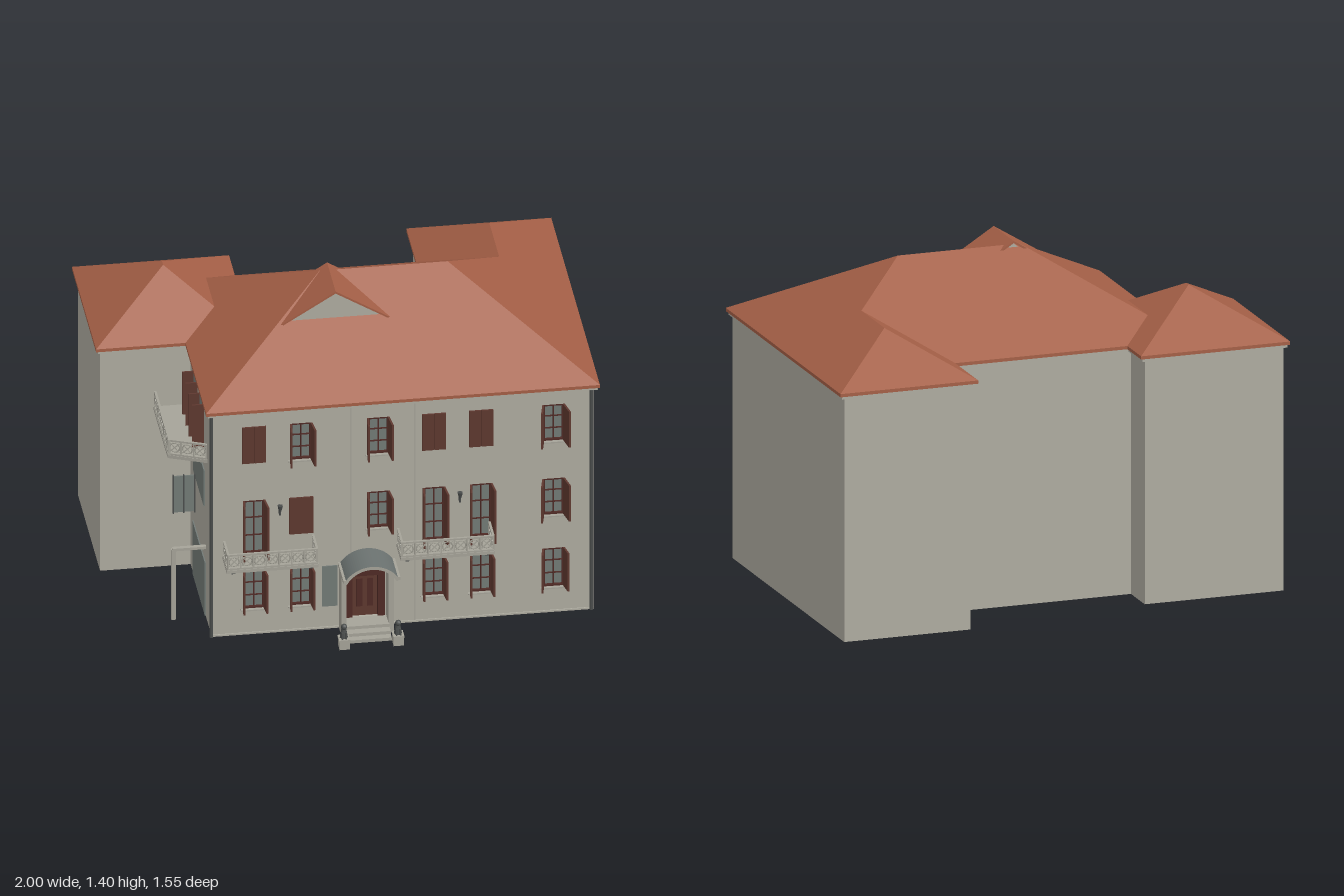
import * as THREE from 'three';

const mat = (name, color, side = THREE.FrontSide) => {
  const m = new THREE.MeshStandardMaterial({ color, side });
  m.name = name;
  return m;
};

export function createModel() {
  const model = new THREE.Group();
  model.name = 'house';
  const M = {
    wall: mat('plaster', 0xaeaba0, THREE.DoubleSide),
    roof: mat('roofTile', 0xa45f46, THREE.DoubleSide),
    shutter: mat('shutterRed', 0x5e382f),
    frame: mat('frameRed', 0x4f2a25),
    glass: mat('glass', 0x727a76, THREE.DoubleSide),
    metal: mat('darkMetal', 0x4a4d4c),
    canopy: mat('canopyGrey', 0x6b7270),
    stone: mat('stone', 0xa5a398),
  };
  const FRONT = 0.585;
  const add = (name, geo, m, x = 0, y = 0, z = 0, parent = model) => {
    const mesh = new THREE.Mesh(geo, m);
    mesh.name = name;
    mesh.position.set(x, y, z);
    parent.add(mesh);
    return mesh;
  };
  const box = (name, m, w, h, d, x, y, z, parent) =>
    add(name, new THREE.BoxGeometry(w, h, d), m, x, y, z, parent);
  const group = (name, parent = model) => {
    const g = new THREE.Group();
    g.name = name;
    parent.add(g);
    return g;
  };

  // Facade windows: x, bottom, top, closed shutters?, shutter swing
  const low = [-0.43, -0.235, 0.315, 0.51, 0.81].map(x => ({ x, y0: 0.12, y1: 0.3 }));
  const mid = [-0.43, -0.235, 0.085, 0.315, 0.51, 0.81].map(x => ({
    x, y0: [-0.43, 0.315, 0.51].includes(x) ? 0.38 : 0.46, y1: 0.63, closed: x === -0.235 }));
  const high = [-0.43, -0.235, 0.085, 0.315, 0.51, 0.81].map(x => ({
    x, y0: 0.81, y1: 0.98, closed: [-0.43, 0.315, 0.51].includes(x) }));
  const windows = [...low, ...mid, ...high];
  const W = 0.085;

  // Front wall with window and door openings
  const rect = (x0, y0, x1, y1, S = THREE.Path) => {
    const s = new S();
    s.moveTo(x0, y0); s.lineTo(x1, y0); s.lineTo(x1, y1); s.lineTo(x0, y1); s.closePath();
    return s;
  };
  const facade = rect(-0.605, 0, 0.975, 1.045, THREE.Shape);
  windows.forEach(w => facade.holes.push(rect(w.x - W / 2, w.y0, w.x + W / 2, w.y1)));
  facade.holes.push(rect(-0.055, 0.04, 0.11, 0.275));
  add('frontWall', new THREE.ExtrudeGeometry(facade, { depth: 0.02, bevelEnabled: false }),
    M.wall, 0, 0, FRONT - 0.02);

  // Remaining walls follow the footprint
  const plan = [[0.975, 0.585], [0.975, -0.75], [0.425, -0.75], [0.425, -0.475], [-0.375, -0.475],
    [-0.375, -0.64], [-0.98, -0.64], [-0.98, -0.01], [-0.605, -0.01], [-0.605, 0.585]];
  for (let i = 0; i < plan.length - 1; i++) {
    const [ax, az] = plan[i], [bx, bz] = plan[i + 1];
    const wall = add('wall', new THREE.PlaneGeometry(Math.hypot(bx - ax, bz - az), 1.045), M.wall,
      (ax + bx) / 2, 0.5225, (az + bz) / 2);
    wall.rotation.y = Math.atan2(-(ax - bx), -(az - bz)) + Math.PI / 2;
  }

  // Hip roofs; all slopes are equal, so overlapping roofs meet in valleys
  const EAVE = 1.065, SLOPE = 0.575;
  const hipRoof = (name, x0, x1, z0, z1) => {
    const r = Math.min(x1 - x0, z1 - z0) / 2, top = EAVE + r * SLOPE;
    const a = [x0, EAVE, z1], b = [x1, EAVE, z1], c = [x1, EAVE, z0], d = [x0, EAVE, z0];
    const wide = x1 - x0 > z1 - z0;
    const p = wide ? [x0 + r, top, z0 + r] : [x0 + r, top, z1 - r];
    const q = wide ? [x1 - r, top, z0 + r] : [x0 + r, top, z0 + r];
    const tris = wide
      ? [a, b, q, a, q, p, b, c, q, c, d, p, c, p, q, d, a, p]
      : [a, b, p, b, c, q, b, q, p, c, d, q, d, a, p, d, p, q];
    const g = new THREE.BufferGeometry();
    g.setAttribute('position', new THREE.Float32BufferAttribute(tris.flat(), 3));
    g.computeVertexNormals();
    add(name, g, M.roof);
    const cx = (x0 + x1) / 2, cz = (z0 + z1) / 2;
    box('eaveEdge', M.roof, x1 - x0, 0.014, z1 - z0, cx, EAVE - 0.007, cz);
    box('soffit', M.wall, x1 - x0 - 0.016, 0.014, z1 - z0 - 0.016, cx, EAVE - 0.02, cz);
  };
  hipRoof('mainRoof', -0.63, 1, -0.5, 0.6);
  hipRoof('leftRearRoof', 0.4, 1, -0.775, 0.1);
  hipRoof('rightWingRoof', -1, -0.35, -0.665, 0.015);

  // Roof gable
  const tri = (hw, h) => {
    const s = new THREE.Shape();
    s.moveTo(-hw, 0); s.lineTo(hw, 0); s.lineTo(0, h); s.closePath();
    return s;
  };
  add('gableWall', new THREE.ExtrudeGeometry(tri(0.21, 0.13), { depth: 0.21, bevelEnabled: false }),
    M.wall, -0.045, 1.258, 0.035);
  for (const s of [-1, 1]) {
    const slab = new THREE.Shape();
    slab.moveTo(0, 0.142); slab.lineTo(s * 0.225, 0.002); slab.lineTo(s * 0.215, 0); slab.lineTo(0, 0.132);
    add('gableRoof', new THREE.ExtrudeGeometry(slab, { depth: 0.24, bevelEnabled: false }),
      M.roof, -0.045, 1.26, 0.023);
  }

  // Windows with glazing bars and shutters
  for (const w of windows) {
    const g = group('window'), h = w.y1 - w.y0, cy = (w.y0 + w.y1) / 2;
    g.position.set(w.x, cy, FRONT);
    add('glass', new THREE.PlaneGeometry(W, h), M.glass, 0, 0, -0.014, g);
    if (w.closed) {
      for (const s of [-1, 1]) box('closedShutter', M.shutter, 0.049, h, 0.008, s * 0.025, 0, 0.004, g);
      continue;
    }
    for (const s of [-1, 1]) {
      box('jamb', M.frame, 0.007, h, 0.012, s * (W / 2 - 0.0035), 0, -0.007, g);
      box('rail', M.frame, W, 0.007, 0.012, 0, s * (h / 2 - 0.0035), -0.007, g);
      const leaf = group('openShutter', g), len = w.y1 < 0.4 ? 0.055 : 0.07;
      leaf.position.set(s * W / 2, 0, 0);
      leaf.rotation.y = s * (w.x > 0.7 ? 0.22 : 0.1);
      box('shutterLeaf', M.shutter, 0.008, h, len, 0, 0, len / 2, leaf);
    }
    box('mullion', M.frame, 0.005, h, 0.008, 0, 0, -0.009, g);
    for (const f of [-1, 1]) box('glazingBar', M.frame, W, 0.004, 0.006, 0, f * h / 6, -0.009, g);
    box('sill', M.stone, 0.11, 0.006, 0.016, 0, -h / 2 - 0.003, 0.006, g);
  }
  add('sideLight', new THREE.BoxGeometry(0.065, 0.19, 0.006), M.glass, -0.117, 0.2, FRONT + 0.002);

  // Drainpipes and facade joints
  for (const x of [-0.608, 0.965])
    add('drainpipe', new THREE.CylinderGeometry(0.008, 0.008, 1.04, 8), M.metal, x, 0.52, FRONT + 0.006);
  for (const x of [-0.03, 0.235]) box('facadeJoint', M.stone, 0.005, 1.04, 0.005, x, 0.52, FRONT);
  box('plinth', M.wall, 1.58, 0.008, 0.01, 0.185, 0.004, FRONT);

  // Ornamental railing along local x, base at y = 0
  const railing = (parent, len, n, x, y, z, ry = 0) => {
    const g = group('railing', parent), step = len / n;
    g.position.set(x, y, z);
    g.rotation.y = ry;
    for (const h of [0.004, 0.068]) box('railBar', M.stone, len, 0.008, 0.01, 0, h, 0, g);
    for (let i = 0; i <= n; i++) {
      const px = -len / 2 + i * step;
      box('railPost', M.stone, 0.006, 0.07, 0.008, px, 0.035, 0, g);
      if (i === n) break;
      add('railRing', new THREE.TorusGeometry(0.021, 0.003, 4, 12), M.stone, px + step / 2, 0.036, 0, g);
      for (const s of [-1, 1])
        box('railCross', M.stone, step * 1.1, 0.004, 0.004, px + step / 2, 0.036, 0, g).rotation.z = s * 0.8;
    }
  };

  // Two front balconies
  for (const [x0, x1] of [[-0.56, -0.18], [0.16, 0.55]]) {
    const g = group('balcony'), cx = (x0 + x1) / 2, len = x1 - x0;
    box('balconySlab', M.stone, len, 0.014, 0.125, cx, 0.37, 0.645, g);
    railing(g, len - 0.01, 7, cx, 0.377, 0.7);
    for (const x of [x0 + 0.006, x1 - 0.006]) railing(g, 0.115, 2, x, 0.377, 0.643, Math.PI / 2);
    for (const x of [x0 + 0.035, x1 - 0.025]) box('bracket', M.metal, 0.016, 0.035, 0.07, x, 0.346, 0.62, g);
  }

  // Entrance: recess, door, surround, canopy, steps, guardian figures
  const entrance = group('entrance'), EX = 0.03;
  box('doorRecess', M.shutter, 0.17, 0.24, 0.13, EX, 0.155, 0.505, entrance);
  box('doorHead', M.frame, 0.165, 0.04, 0.02, EX, 0.255, 0.578, entrance);
  for (const s of [-1, 1]) {
    box('doorJamb', M.frame, 0.03, 0.22, 0.02, EX + s * 0.067, 0.15, 0.578, entrance);
    box('doorPanel', M.frame, 0.026, 0.13, 0.006, EX + s * 0.022, 0.15, 0.572, entrance);
    box('pilaster', M.stone, 0.022, 0.3, 0.07, EX + s * 0.098, 0.15, 0.62, entrance);
    box('pedestal', M.stone, 0.042, 0.04, 0.045, EX + s * 0.112, 0.02, 0.75, entrance);
    box('pedestalCap', M.stone, 0.046, 0.008, 0.05, EX + s * 0.112, 0.042, 0.75, entrance);
    const fig = group('guardianFigure', entrance);
    fig.position.set(EX + s * 0.112, 0.046, 0.75);
    add('figureBody', new THREE.CylinderGeometry(0.01, 0.017, 0.042, 8), M.metal, 0, 0.021, -0.004, fig);
    add('figureHead', new THREE.SphereGeometry(0.013, 10, 8), M.metal, 0, 0.052, 0.003, fig);
    for (const t of [-1, 1]) box('figureLeg', M.metal, 0.006, 0.03, 0.008, t * 0.008, 0.015, 0.014, fig);
  }
  const arch = new THREE.Shape();
  arch.absarc(0, 0, 0.13, Math.PI / 2 - 1.09, Math.PI / 2 + 1.09, false);
  arch.absarc(0, 0, 0.116, Math.PI / 2 + 1.09, Math.PI / 2 - 1.09, true);
  add('archCanopy', new THREE.ExtrudeGeometry(arch, { depth: 0.155, bevelEnabled: false, curveSegments: 16 }),
    [M.stone, M.canopy], EX + 0.005, 0.236, 0.588, entrance);
  for (const s of [-1, 1])
    box('canopyEave', M.stone, 0.02, 0.014, 0.155, EX + 0.005 + s * 0.108, 0.302, 0.665, entrance);
  [0.14, 0.11, 0.075].forEach((d, i) =>
    box('step', M.stone, 0.18, 0.014, d, EX, 0.007 + i * 0.014, FRONT + d / 2, entrance));

  // Wall lanterns
  for (const x of [-0.325, 0.42]) {
    add('lantern', new THREE.CylinderGeometry(0.012, 0.006, 0.026, 6), M.metal, x, 0.595, FRONT + 0.02);
    box('lanternArm', M.metal, 0.006, 0.03, 0.02, x, 0.575, FRONT + 0.01);
  }

  // Side balcony with slanted end
  const side = group('sideBalcony');
  const slab = new THREE.Shape();
  slab.moveTo(-0.605, 0); slab.lineTo(-0.76, 0); slab.lineTo(-0.76, -0.4); slab.lineTo(-0.605, -0.465);
  const slabMesh = add('sideSlab', new THREE.ExtrudeGeometry(slab, { depth: 0.014, bevelEnabled: false }),
    M.stone, 0, 0.752, 0, side);
  slabMesh.rotation.x = -Math.PI / 2;
  railing(side, 0.4, 8, -0.753, 0.766, 0.2, Math.PI / 2);
  railing(side, 0.16, 3, -0.682, 0.766, 0.425, -0.4);

  // Side openings: upper door, open casement, ground-floor glazed door with porch frame
  for (const z of [0.14, 0.32]) {
    box('sideWindow', M.glass, 0.008, 0.2, 0.085, -0.606, 0.875, z);
    for (const s of [-1, 1]) box('sideShutter', M.shutter, 0.05, 0.2, 0.008, -0.63, 0.875, z + s * 0.046);
  }
  box('casementGlass', M.glass, 0.085, 0.17, 0.006, -0.697, 0.59, 0.42);
  for (const x of [-0.74, -0.697, -0.652]) box('casementBar', M.metal, 0.005, 0.18, 0.01, x, 0.59, 0.42);
  box('sideGlass', M.glass, 0.008, 0.17, 0.3, -0.606, 0.59, 0.24);
  box('sideDoorGlass', M.glass, 0.008, 0.25, 0.35, -0.606, 0.13, 0.245);
  box('porchPost', M.stone, 0.018, 0.33, 0.018, -0.74, 0.165, 0.42);
  box('porchBeam', M.stone, 0.14, 0.012, 0.018, -0.675, 0.33, 0.42);
  return model;
}
